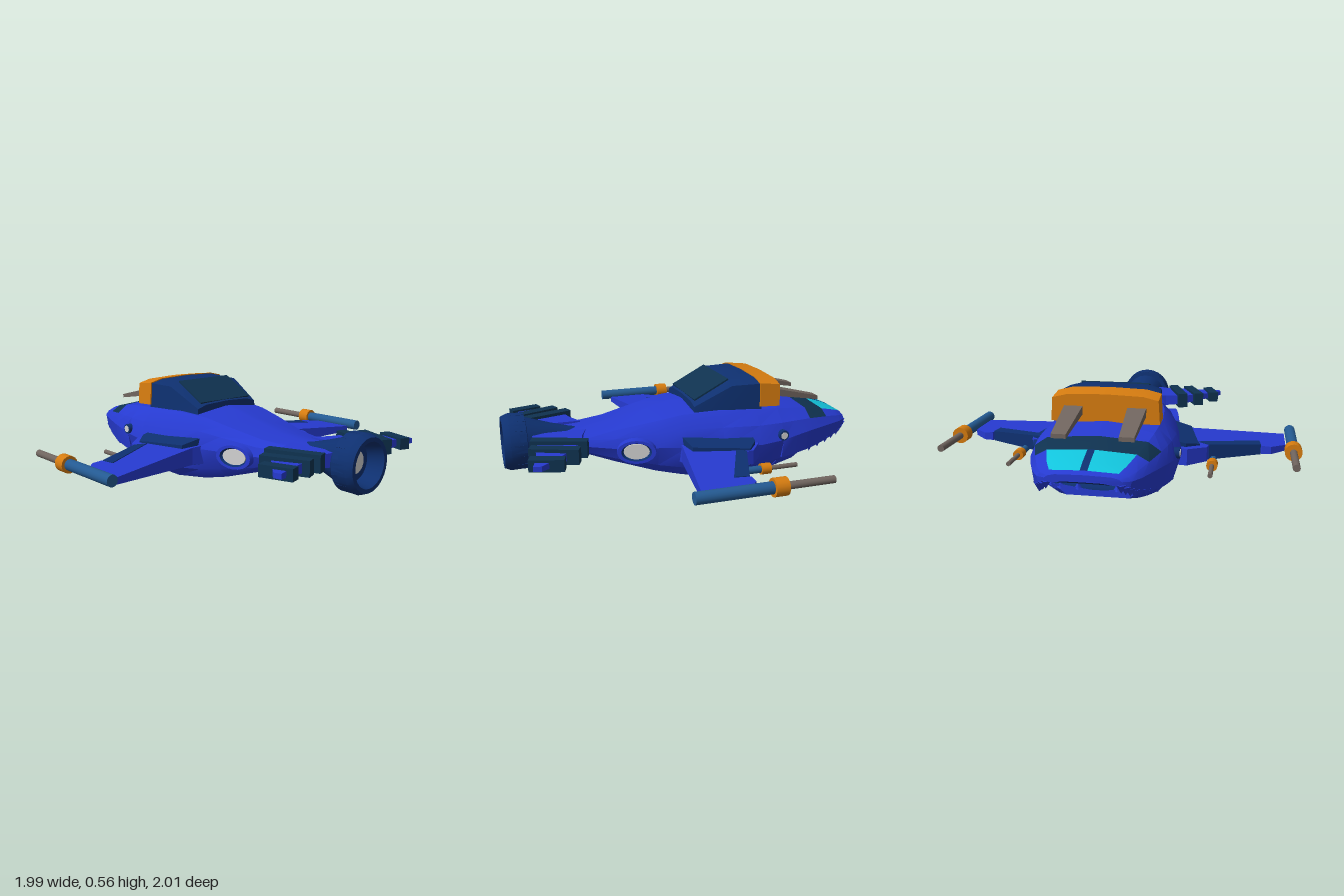
import * as THREE from 'three';
import { toCreasedNormals } from 'three/addons/utils/BufferGeometryUtils.js';

const mat = (name, color, side = THREE.FrontSide) => {
  const m = new THREE.MeshStandardMaterial({ color, side });
  m.name = name;
  return m;
};

export function createModel() {
  const hull = mat('hull blue', 0x263ad0);
  const navy = mat('navy', 0x0e3070, THREE.DoubleSide);
  const teal = mat('dark teal', 0x0f3250);
  const steel = mat('barrel blue', 0x245a92);
  const orange = mat('orange', 0xd67c10);
  const gray = mat('gun gray', 0x70655f);
  const cyan = mat('window cyan', 0x12c4dc);
  const white = mat('lens white', 0xd2d2d2);

  const model = new THREE.Group();
  const body = new THREE.Group();
  body.name = 'fuselage';
  body.position.x = 0.02;
  model.add(body);

  const add = (parent, name, geo, material, x = 0, y = 0, z = 0) => {
    const mesh = new THREE.Mesh(geo, material);
    mesh.name = name;
    mesh.position.set(x, y, z);
    parent.add(mesh);
    return mesh;
  };

  // Loft of mirrored half sections, ordered from +z to -z; pick(row, column) gives a material index
  const loft = (rows, mats, pick = () => 0, crease = 0.5) => {
    const rings = rows.map(({ z, half }) => [
      ...half.map(([x, y]) => [x, y, z]),
      ...half.slice().reverse().map(([x, y]) => [-x, y, z])]);
    const n = rings[0].length;
    const buckets = mats.map(() => []);
    for (let i = 0; i < rings.length - 1; i++) for (let j = 0; j < n; j++) {
      const j2 = (j + 1) % n;
      const a = rings[i][j], b = rings[i][j2], c = rings[i + 1][j], d = rings[i + 1][j2];
      const k = j === n - 1 ? -1 : Math.min(j, n - 2 - j);
      buckets[pick(i, k)].push(...a, ...b, ...c, ...b, ...d, ...c);
    }
    [rings[0], rings[rings.length - 1]].forEach((r, end) => {
      const mid = [0, r.reduce((s, p) => s + p[1], 0) / n, r[0][2]];
      for (let j = 0; j < n; j++) {
        const p = r[j], q = r[(j + 1) % n];
        buckets[0].push(...mid, ...(end ? p : q), ...(end ? q : p));
      }
    });
    const geo = new THREE.BufferGeometry();
    geo.setAttribute('position', new THREE.Float32BufferAttribute(buckets.flat(), 3));
    let start = 0;
    buckets.forEach((b, i) => {
      geo.addGroup(start, b.length / 3, i);
      start += b.length / 3;
    });
    return toCreasedNormals(geo, crease);
  };

  // Flat plate with an outline in x and z, and heights that depend on x
  const plate = (outline, s, bottom, top) => {
    const shape = new THREE.Shape(outline.map(([x, z]) => new THREE.Vector2(s * x, -z)));
    const geo = new THREE.ExtrudeGeometry(shape, { depth: 1, bevelEnabled: false });
    geo.rotateX(-Math.PI / 2);
    const p = geo.attributes.position;
    for (let i = 0; i < p.count; i++) {
      const x = Math.abs(p.getX(i));
      p.setY(i, THREE.MathUtils.lerp(bottom(x), top(x), p.getY(i)));
    }
    geo.computeVertexNormals();
    return geo;
  };
  const rodZ = (r, z0, z1, sides = 16) =>
    new THREE.CylinderGeometry(r, r, Math.abs(z1 - z0), sides).rotateX(Math.PI / 2).translate(0, 0, (z0 + z1) / 2);
  const lathe = (pts, sides) =>
    toCreasedNormals(new THREE.LatheGeometry(pts.map(([r, y]) => new THREE.Vector2(r, y)), sides), 0.5);

  // Hull: z, half width, top, widest height, bottom
  const upper = (w, t, m) => [[0.018, t], [0.73 * w, m + 0.86 * (t - m)], [0.92 * w, m + 0.5 * (t - m)], [w, m]];
  const hullRows = [
    [0.88, 0.1, 0.28, 0.25, 0.22], [0.75, 0.13, 0.29, 0.24, 0.2], [0.6, 0.175, 0.3, 0.24, 0.19],
    [0.42, 0.22, 0.32, 0.22, 0.125], [0.2, 0.28, 0.37, 0.22, 0.055], [0.05, 0.31, 0.405, 0.215, 0.02],
    [-0.15, 0.36, 0.42, 0.21, 0], [-0.36, 0.385, 0.415, 0.21, 0.015], [-0.5, 0.375, 0.405, 0.22, 0.035],
  ].map(([z, w, t, m, b]) => ({
    z, half: [...upper(w, t, m), [0.9 * w, b + 0.35 * (m - b)], [0.73 * w, b + 0.05 * (m - b)], [0.018, b]] }));
  add(body, 'hull', loft(hullRows, [hull]), [hull]);

  // Upper jaw with cockpit windows, dark band and mouth roof
  const jaw = [
    [-0.5, 0.375, 0.405, 0.22, 0.11], [-0.58, 0.365, 0.393, 0.235, 0.12], [-0.69, 0.345, 0.375, 0.25, 0.135],
    [-0.82, 0.3, 0.345, 0.255, 0.16], [-0.92, 0.258, 0.315, 0.255, 0.185],
    [-0.975, 0.222, 0.293, 0.255, 0.215], [-0.995, 0.18, 0.278, 0.256, 0.235]];
  const jawRows = jaw.map(([z, w, t, m, b]) => ({
    z, half: [...upper(w, t, m), [0.95 * w, b], [0.84 * w, b], [0.75 * w, b + 0.35 * (m - b)], [0.018, b + 0.4 * (m - b)]] }));
  const jawPick = (i, k) => {
    if (k >= 5) return 1;
    if (i === 2 && k <= 1) return 2;
    if ((i === 3 || i === 4) && k <= 0) return k < 0 ? 1 : 3;
    return 0;
  };
  const jawMats = [hull, navy, teal, cyan];
  add(body, 'upperJaw', loft(jawRows, jawMats, jawPick), jawMats);

  // Lower jaw with a dark mouth floor
  const lowerRows = [[-0.48, 0.375, 0.13, 0.033], [-0.6, 0.33, 0.098, 0.05], [-0.66, 0.28, 0.105, 0.057], [-0.7, 0.22, 0.118, 0.065]]
    .map(([z, w, t, b]) => ({
      z, half: [[0.018, t - 0.02], [0.78 * w, t - 0.02], [0.84 * w, t], [0.91 * w, t], [0.87 * w, (t + b) / 2], [0.73 * w, b], [0.018, b]] }));
  add(body, 'lowerJaw', loft(lowerRows, [hull, navy], (i, k) => (k <= 1 ? 1 : 0)), [hull, navy]);

  // Canopy and its orange front frame
  const hood = (z, w, t, b) => ({ z, half: [[0.018, t], [0.72 * w, t - 0.006], [w, t - 0.025], [w * 1.03, b]] });
  add(body, 'canopy', loft([hood(-0.02, 0.222, 0.44, 0.37), hood(-0.23, 0.255, 0.55, 0.37), hood(-0.4, 0.27, 0.553, 0.37)], [navy]), [navy]);
  add(body, 'canopyFrame', loft([hood(-0.39, 0.276, 0.557, 0.4), hood(-0.51, 0.276, 0.543, 0.395)], [orange]), [orange]);
  const pane = add(body, 'canopyWindow', new THREE.BoxGeometry(0.38, 0.009, 0.225), teal, 0, 0.496, -0.132);
  pane.rotation.x = 0.483;

  // Tail engine
  add(body, 'engineCone', lathe([[0, 0.54], [0.045, 0.58], [0.06, 0.65], [0.085, 0.74], [0.13, 0.88]], 20).rotateX(Math.PI / 2), navy, 0, 0.25);
  add(body, 'engineRing', lathe([[0.1, 0.87], [0.152, 0.88], [0.155, 0.965], [0.14, 1], [0.118, 1], [0.1, 0.91], [0, 0.91]], 24).rotateX(Math.PI / 2), navy, 0, 0.25);
  add(body, 'engineLens', rodZ(0.06, 0.9, 0.918, 20), white, 0, 0.25);
  for (let i = 0; i < 16; i++) {
    const a = (i / 16) * Math.PI * 2;
    const rib = add(body, 'engineRib', new THREE.BoxGeometry(0.018, 0.04, 0.085), navy,
      0.143 * Math.cos(a), 0.25 + 0.143 * Math.sin(a), 0.925);
    rib.rotation.z = a;
    rib.scale.y = 1.05;
  }

  const ramp = (x0, y0, x1, y1) => x => THREE.MathUtils.mapLinear(x, x0, x1, y0, y1);
  const wingTop = ramp(0.33, 0.23, 0.92, 0.19), wingBottom = ramp(0.33, 0.133, 0.92, 0.157);
  const wing = [[0.2, -0.3], [0.39, -0.35], [0.49, -0.27], [0.5, -0.21], [0.775, -0.11], [0.785, -0.125],
    [0.835, -0.125], [0.915, -0.05], [0.915, 0.18], [0.33, 0.08], [0.22, 0.1]];
  const slot = [[0.5, -0.225], [0.78, -0.115], [0.77, -0.035], [0.44, -0.19]];
  const root = [[0.25, -0.32], [0.4, -0.31], [0.47, -0.25], [0.45, -0.18], [0.4, 0.05], [0.25, 0.08]];
  const fin = [[0.08, 0.56], [0.18, 0.6], [0.28, 0.62], [0.38, 0.7], [0.46, 0.78], [0.53, 0.86], [0.52, 0.9],
    [0.42, 0.87], [0.3, 0.86], [0.2, 0.83], [0.08, 0.86]];

  // Gun: sleeve, collar and barrel along z
  const gun = (name, x, y, r, z0, z1, zCollar, zEnd) => {
    const g = new THREE.Group();
    g.name = name;
    g.position.set(x, y, 0);
    add(g, 'sleeve', rodZ(r, z0, z1), steel);
    add(g, 'collar', rodZ(r * 1.5, z1 + r, zCollar), orange);
    add(g, 'barrel', rodZ(r * 0.63, zCollar + 0.02, zEnd), gray);
    model.add(g);
  };

  for (const s of [1, -1]) {
    const side = s > 0 ? 'left' : 'right';
    // Wings and guns
    add(model, side + 'Wing', plate(wing, s, wingBottom, wingTop), hull);
    add(model, side + 'WingSlot', plate(slot, s, x => wingBottom(x) - 0.004, x => wingTop(x) + 0.004), navy);
    add(body, side + 'WingRoot', plate(root, s, ramp(0.3, 0.125, 0.47, 0.13), ramp(0.3, 0.27, 0.47, 0.23)), navy);
    gun(side + 'TipGun', s > 0 ? 0.943 : -0.95, 0.2, 0.031, 0.235, -0.19, -0.23, -0.49);
    gun(side + 'WingGun', 0.0175 + s * 0.54, 0.135, 0.02, -0.09, -0.3, -0.335, -0.495);

    // Tail fin with bands
    add(body, side + 'TailFin', plate(fin, s, ramp(0.1, 0.23, 0.53, 0.262), ramp(0.1, 0.305, 0.53, 0.288)), hull);
    [[0.247, 0.73, 0.295, 0.09, 0.33], [0.348, 0.77, 0.255, 0.08, 0.38], [0.462, 0.825, 0.175, 0.062, 0.3]]
      .forEach(([x, z, len, h, turn]) => {
        const band = add(body, side + 'FinBand', new THREE.BoxGeometry(0.06, h, len), teal, s * x, 0.272, z);
        band.rotation.y = -s * turn;
      });

    // Roof cannon
    const cannon = [[-0.48, 0.05, 0.485, 0.44], [-0.8, 0.037, 0.407, 0.385]]
      .map(([z, w, t, b]) => ({ z, half: [[w, t], [w, b]] }));
    add(body, side + 'RoofCannon', loft(cannon, [gray]), [gray], s * 0.165);

    // Side intake
    const intake = new THREE.Group();
    intake.name = side + 'Intake';
    intake.position.set(s * 0.237, 0.21, 0.315);
    intake.rotation.y = -s * 0.28;
    intake.scale.y = 0.62;
    const turn = -s * Math.PI / 2;
    add(intake, 'ring', lathe([[0.11, -0.03], [0.105, 0.045], [0.082, 0.045]], 20).rotateZ(turn), hull);
    add(intake, 'throat', lathe([[0.082, 0.045], [0.07, 0.026], [0, 0.026]], 20).rotateZ(turn), navy);
    add(intake, 'lens', new THREE.CylinderGeometry(0.07, 0.07, 0.008, 20).rotateZ(turn), white, s * 0.03);
    body.add(intake);

    // Eye
    add(body, side + 'EyeRing', new THREE.CylinderGeometry(0.029, 0.029, 0.05, 16).rotateZ(turn), navy, s * 0.362, 0.25, -0.495);
    add(body, side + 'EyeLens', new THREE.CylinderGeometry(0.02, 0.02, 0.008, 16).rotateZ(turn), white, s * 0.386, 0.25, -0.495);

    // Teeth along the jaw rims
    for (let i = 2; i < jaw.length - 1; i++) for (const f of [0.1, 0.6]) {
      const at = c => THREE.MathUtils.lerp(jaw[i][c], jaw[i + 1][c], f);
      const tooth = new THREE.ConeGeometry(0.024, 0.04, 4).rotateX(Math.PI);
      add(body, side + 'UpperTooth', tooth, hull, s * 0.89 * at(1), at(4) - 0.008, at(0));
    }
    for (const [x, z] of [[0.19, -0.69], [0.1, -0.69], [0.25, -0.65]])
      add(body, side + 'LowerTooth', new THREE.ConeGeometry(0.022, 0.035, 4), hull, s * x, 0.115, z);
  }
  return model;
}
